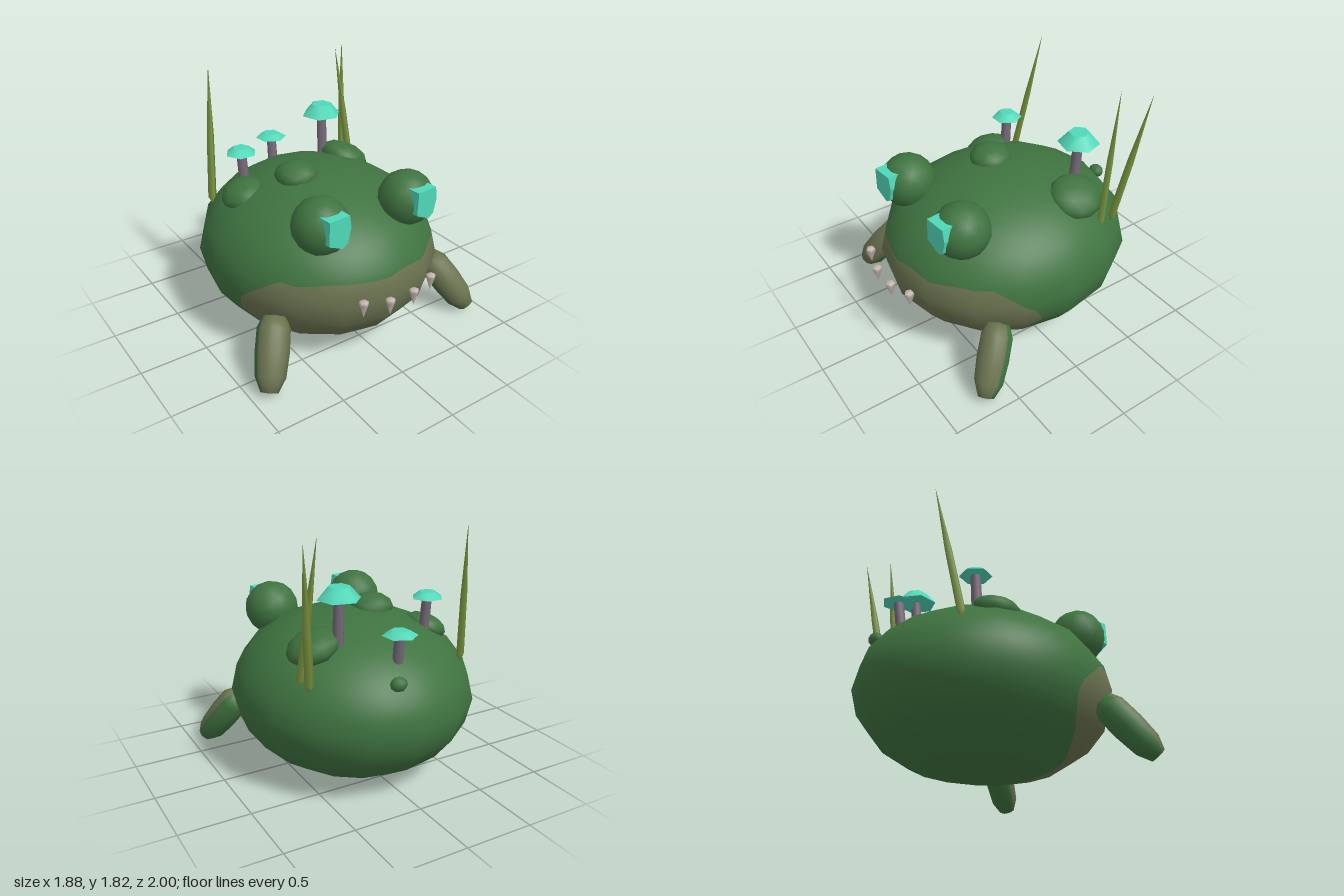
import * as THREE from 'three';

const mat = (name, color) => {
  const m = new THREE.MeshStandardMaterial({ color });
  m.name = name;
  return m;
};
const V = (x, y, z) => new THREE.Vector3(x, y, z);

// Cuts a geometry along rule(x, y, z) = 0: first group where positive, second where negative.
function splitByRule(source, rule, steps) {
  const geo = source.index ? source.toNonIndexed() : source;
  const P = geo.attributes.position, N = geo.attributes.normal;
  const sides = [[], []];
  const mix = (a, b, t) => a.map((v, i) => v + (b[i] - v) * t);
  const cut = (tri, sign) => {
    const out = [];
    tri.forEach((a, i) => {
      const b = tri[(i + 1) % 3];
      const fa = rule(a[0], a[1], a[2]) * sign, fb = rule(b[0], b[1], b[2]) * sign;
      if (fa >= 0) out.push(a);
      if ((fa > 0 && fb < 0) || (fa < 0 && fb > 0)) out.push(mix(a, b, fa / (fa - fb)));
    });
    const list = sides[sign > 0 ? 0 : 1];
    for (let i = 1; i + 1 < out.length; i++) list.push(out[0], out[i], out[i + 1]);
  };
  for (let t = 0; t < P.count; t += 3) {
    const [a, b, c] = [0, 1, 2].map((k) => [
      P.getX(t + k), P.getY(t + k), P.getZ(t + k), N.getX(t + k), N.getY(t + k), N.getZ(t + k)]);
    const at = (i, j) => a.map((v, k) => v + ((b[k] - v) * i + (c[k] - v) * j) / steps);
    for (let i = 0; i < steps; i++) {
      for (let j = 0; j < steps - i; j++) {
        const tris = [[at(i, j), at(i + 1, j), at(i, j + 1)]];
        if (i + j < steps - 1) tris.push([at(i + 1, j), at(i + 1, j + 1), at(i, j + 1)]);
        tris.forEach((tri) => { cut(tri, 1); cut(tri, -1); });
      }
    }
  }
  const all = sides[0].concat(sides[1]);
  const res = new THREE.BufferGeometry();
  res.setAttribute('position', new THREE.Float32BufferAttribute(all.flatMap((v) => v.slice(0, 3)), 3));
  res.setAttribute('normal', new THREE.Float32BufferAttribute(all.flatMap((v) => v.slice(3)), 3));
  res.addGroup(0, sides[0].length, 0);
  res.addGroup(sides[0].length, sides[1].length, 1);
  return res;
}

// Turns a geometry that runs up the y axis so that it runs from a to b.
function alongLine(geo, a, b) {
  const dir = b.clone().sub(a).normalize();
  geo.applyQuaternion(new THREE.Quaternion().setFromUnitVectors(V(0, 1, 0), dir));
  return geo.translate(a.x, a.y, a.z);
}
const lathe = (pts, sides) =>
  new THREE.LatheGeometry(pts.map(([r, y]) => new THREE.Vector2(r, y)), sides);

export function createModel() {
  const root = new THREE.Group();
  root.name = 'swampCreature';
  const green = mat('mossGreen', 0x3f7340);
  const olive = mat('bellyOlive', 0x6b7350);
  const teal = mat('glowTeal', 0x50d8b8);
  const grass = mat('grassGreen', 0x7a9440);
  const stemGrey = mat('stemPurpleGrey', 0x756a78);
  const bone = mat('toothBone', 0xc2b6ae);
  const add = (name, geo, material, parent = root) => {
    const m = new THREE.Mesh(geo, material);
    m.name = name;
    parent.add(m);
    return m;
  };

  // Body: squashed ball with a flat underside and an olive front
  const body = new THREE.SphereGeometry(1, 16, 10);
  body.scale(0.865, 0.6, 0.94).translate(0, 0.57, -0.065);
  const bp = body.attributes.position;
  for (let i = 0; i < bp.count; i++) bp.setY(i, Math.max(0.04, bp.getY(i)));
  const bellyRule = (x, y, z) => Math.min(
    0.71 - y + 0.008 * Math.sin(x * 14),
    z - 0.18 - 0.02 * Math.sin(y * 28),
    0.61 * (z - 0.2) - 0.79 * (y - 0.5),
    0.7 * (z + y - 0.46));
  add('body', splitByRule(body, bellyRule, 6), [olive, green]);

  for (const s of [1, -1]) {
    const side = s > 0 ? 'left' : 'right';

    // Front legs, olive ahead and green behind
    const leg = lathe([[0, -0.05], [0.08, -0.04], [0.115, 0.04], [0.118, 0.2], [0.105, 0.36], [0.06, 0.46], [0, 0.465]], 8);
    alongLine(leg, V(s * 0.7, 0.4, 0.47), V(s * 0.87, 0.08, 0.68));
    add(side + 'Leg', splitByRule(leg, (x, y, z) => 0.55 * (y - 0.24) + 0.84 * (z - 0.575), 2), [olive, green]);

    // Bulging eyes with glowing pupils
    const eye = new THREE.IcosahedronGeometry(0.2, 2);
    add(side + 'Eye', eye, green).position.set(s * 0.36, 1.065, 0.525);
    const outline = [[-0.085, 0.11], [-0.09, -0.06], [0.025, -0.115], [0.07, -0.085], [0.095, 0.02], [0.08, 0.11]];
    const pupil = new THREE.ExtrudeGeometry(
      new THREE.Shape(outline.map(([x, y]) => new THREE.Vector2(x, y))),
      { depth: 0.1, bevelEnabled: false });
    const pm = add(side + 'Pupil', pupil, teal);
    pm.position.set(s * 0.36, 1.09, 0.63);
    pm.rotation.y = 0.1;
  }

  // Moss lumps: position, size, sideways tilt
  [
    [-0.17, 1.15, -0.065, 0.16, 0.1, 0.16, 0],
    [0.46, 1.04, -0.36, 0.19, 0.1, 0.2, -0.4],
    [-0.5, 1.01, -0.27, 0.16, 0.09, 0.17, 0.4],
    [0.11, 0.88, -0.87, 0.06, 0.05, 0.05, 0],
  ].forEach(([x, y, z, sx, sy, sz, tilt]) => {
    const lump = add('mossLump', new THREE.IcosahedronGeometry(1, 1), green);
    lump.position.set(x, y, z);
    lump.scale.set(sx, sy, sz);
    lump.rotation.z = tilt;
  });

  // Mushrooms: stem base, cap centre, cap radius, cap height, cap turn
  [
    [V(0.32, 0.98, -0.45), V(0.325, 1.38, -0.475), 0.15, 0.085, 0.3],
    [V(-0.42, 0.95, -0.37), V(-0.43, 1.265, -0.395), 0.115, 0.045, 0.5],
    [V(0.02, 0.88, -0.71), V(0.03, 1.165, -0.75), 0.12, 0.035, 0.1],
  ].forEach(([base, top, r, h, turn]) => {
    const mushroom = new THREE.Group();
    mushroom.name = 'mushroom';
    root.add(mushroom);
    const len = base.distanceTo(top);
    const stem = new THREE.CylinderGeometry(0.036, 0.04, len + 0.02, 7).translate(0, len / 2, 0);
    add('stem', alongLine(stem, base, top), stemGrey, mushroom);
    const cap = add('cap', new THREE.CylinderGeometry(r * 0.5, r, h, 6), teal, mushroom);
    cap.position.copy(top).add(V(0, h / 2 - 0.005, 0));
    cap.rotation.y = turn;
  });

  // Grass blades: root and tip
  [
    [V(0.615, 0.82, -0.47), V(0.55, 1.83, -0.615)],
    [V(0.6, 0.82, -0.585), V(0.71, 1.83, -0.75)],
    [V(-0.595, 0.82, -0.585), V(-0.475, 1.83, -0.75)],
  ].forEach(([a, b]) => {
    const l = a.distanceTo(b);
    const blade = lathe([[0, 0], [0.034, 0.05 * l], [0.029, 0.5 * l], [0.012, 0.8 * l], [0, l]], 4);
    add('grassBlade', alongLine(blade, a, b), grass);
  });

  // Teeth, pointing down
  for (const [x, y, z] of [[0.285, 0.6, 0.91], [0.1, 0.575, 0.955]]) {
    for (const s of [1, -1]) {
      const tooth = lathe([[0, -0.065], [0.036, 0.04], [0.03, 0.058], [0, 0.062]], 5);
      add('tooth', tooth, bone).position.set(s * x, y, z);
    }
  }
  return root;
}
